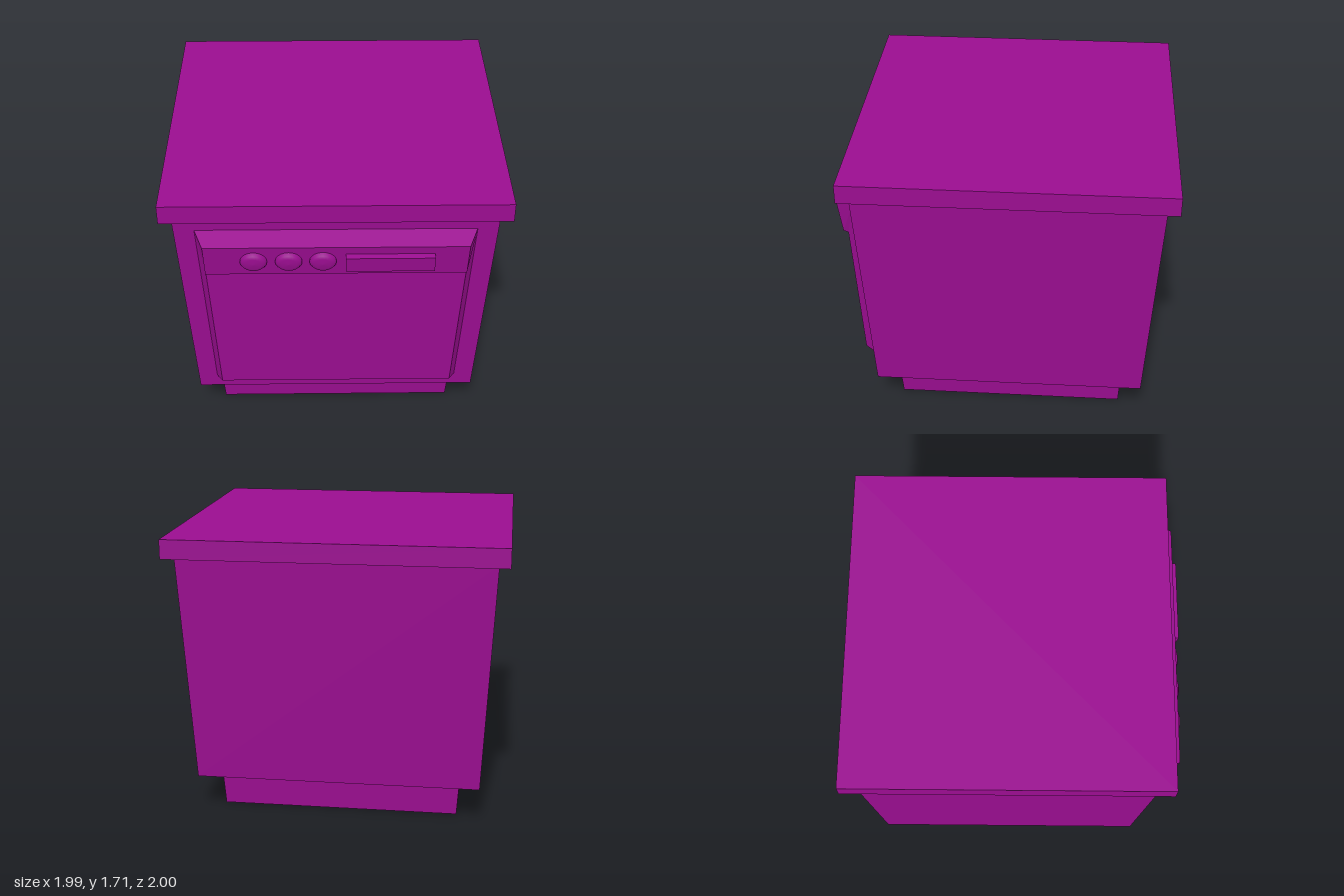
import * as THREE from 'three';

const material = new THREE.MeshStandardMaterial({ color: 0x9a0d90, flatShading: true, side: THREE.DoubleSide });
const smooth = new THREE.MeshStandardMaterial({ color: 0x9a0d90 });

function add(group, name, geometry, mat = material) {
  const mesh = new THREE.Mesh(geometry, mat);
  mesh.name = name;
  group.add(mesh);
  return mesh;
}

// Geometry from convex polygons, each fanned into triangles
function polygons(list) {
  const pos = [];
  for (const p of list)
    for (let i = 1; i < p.length - 1; i++) pos.push(...p[0], ...p[i], ...p[i + 1]);
  const g = new THREE.BufferGeometry();
  g.setAttribute('position', new THREE.Float32BufferAttribute(pos, 3));
  g.computeVertexNormals();
  return g;
}

// Four corners of a level rectangle: front left, front right, back right, back left on screen
const rect = (y, x, back, front) => [[-x, y, front], [x, y, front], [x, y, back], [-x, y, back]];

// Walls between two rectangles, starting at side `first` (0 is the front)
function walls(low, high, first = 0) {
  const out = [];
  for (let i = first; i < 4; i++) {
    const j = (i + 1) % 4;
    out.push([low[i], low[j], high[j], high[i]]);
  }
  return out;
}

export function createModel() {
  const model = new THREE.Group();
  model.name = 'dishwasher';

  // Countertop slab
  add(model, 'countertop', new THREE.BoxGeometry(1.99, 0.115, 1.92)).position.set(0, 1.6525, -0.04);

  // Hollow tapered body; its front is a frame around the door opening
  const foot = rect(0, 0.715, -0.73, 0.65);
  const footTop = rect(0.2, 0.73, -0.74, 0.665);
  const bodyLow = rect(0.22, 0.855, -0.86, 0.785);
  const bodyTop = rect(1.6, 0.93, -0.935, 0.86);
  const outer = [bodyLow[0], bodyLow[1], bodyTop[1], bodyTop[0]];
  const hole = [[-0.745, 0.31, 0.79], [0.745, 0.31, 0.79], [0.805, 1.5, 0.855], [-0.805, 1.5, 0.855]];
  add(model, 'body', polygons([...walls(bodyLow, bodyTop, 1), ...walls(outer, hole)]));

  // Open plinth and the ledge joining it to the body
  add(model, 'plinth', polygons(walls(foot, footTop)));
  add(model, 'ledge', polygons(walls(footTop, bodyLow)));

  // Raised door shell, rows of [half width, y, z] from bottom to top
  const rows = [
    [0.745, 0.31, 0.79], [0.705, 0.345, 0.875], [0.75, 1.24, 0.915],
    [0.75, 1.25, 0.943], [0.755, 1.46, 0.972], [0.805, 1.5, 0.855],
  ];
  const left = rows.map(([x, y, z]) => [x, y, z]);
  const right = rows.map(([x, y, z]) => [-x, y, z]);
  const door = [];
  for (let i = 0; i < rows.length - 1; i++) door.push([right[i], left[i], left[i + 1], right[i + 1]]);
  // Bevelled sides of the door and the control panel
  for (const [s, flip] of [[left, false], [right, true]])
    for (const ids of [[0, 5, 2, 1], [5, 4, 3, 2]]) {
      const p = ids.map((i) => s[i]);
      door.push(flip ? p.reverse() : p);
    }
  add(model, 'door', polygons(door));

  // Controls, tilted with the panel
  const controls = new THREE.Group();
  controls.name = 'controls';
  controls.position.set(0, 1.355, 0.957);
  controls.rotation.x = 0.14;
  model.add(controls);

  // Three rounded knobs
  const profile = [[0.077, -0.01], [0.077, 0.008], [0.066, 0.022], [0.045, 0.029], [0, 0.032]]
    .map(([r, h]) => new THREE.Vector2(r, h));
  const knob = new THREE.LatheGeometry(profile, 20).rotateX(Math.PI / 2).scale(1, 0.88, 1);
  for (const x of [-0.47, -0.27, -0.075]) add(controls, 'knob', knob, smooth).position.x = x;

  // Handle bar
  add(controls, 'handle', new THREE.BoxGeometry(0.505, 0.105, 0.045)).position.set(0.3075, 0, 0.0145);

  return model;
}
